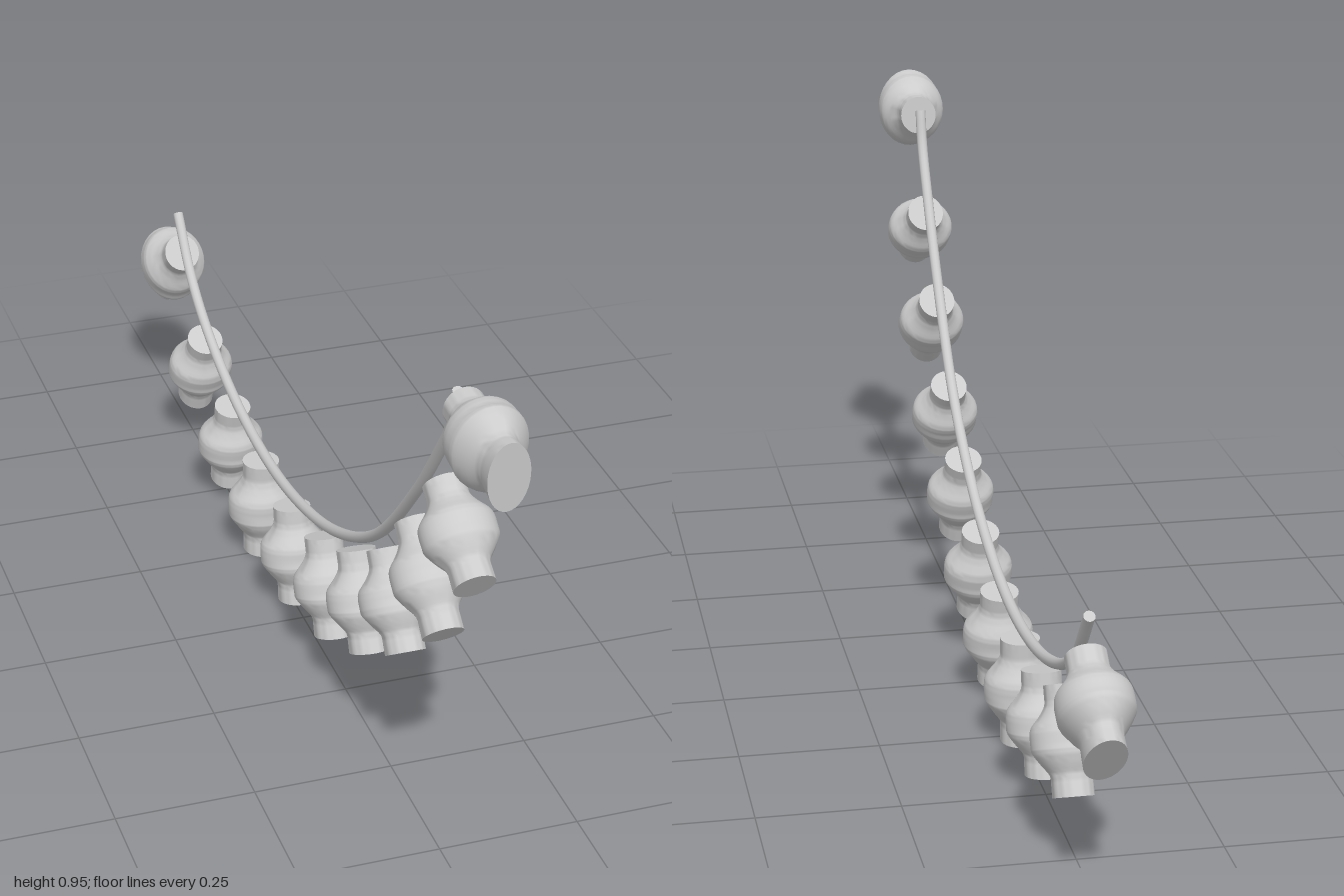
import * as THREE from 'three';
import { toCreasedNormals } from 'three/addons/utils/BufferGeometryUtils.js';

const material = new THREE.MeshStandardMaterial({ color: 0xcccccc });

// Cord path, [z, y]
const CORD = [
  [0.78, 0.905], [0.76, 0.84], [0.70, 0.75], [0.597, 0.618], [0.41, 0.428], [0.195, 0.307], [-0.02, 0.243],
  [-0.227, 0.222], [-0.446, 0.243], [-0.63, 0.3], [-0.74, 0.365], [-0.83, 0.465],
];

// Beads: [top z, top y, bottom z, bottom y]
const BEADS = [
  [0.805, 0.89, 1.0, 0.873], [0.725, 0.709, 0.874, 0.604], [0.596, 0.564, 0.741, 0.43],
  [0.46, 0.43, 0.564, 0.283], [0.3, 0.334, 0.377, 0.168], [0.118, 0.254, 0.179, 0.078],
  [-0.072, 0.209, -0.04, 0.024], [-0.267, 0.198, -0.267, 0.003], [-0.455, 0.217, -0.492, 0.037],
  [-0.644, 0.27, -0.725, 0.104], [-0.805, 0.388, -0.957, 0.275],
];

// Side silhouette from bottom to top, [radius, height fraction]
const PROFILE = [
  [0.035, 0], [0.035, 0.1], [0.036, 0.2], [0.048, 0.29], [0.062, 0.4], [0.064, 0.46],
  [0.064, 0.57], [0.06, 0.64], [0.046, 0.73], [0.036, 0.82], [0.035, 0.9], [0.035, 1],
];

// Bead with a cross-section whose depth changes along its length
function beadGeometry(length, bottom, middle, top) {
  const curve = new THREE.SplineCurve(PROFILE.map(([r, t]) => new THREE.Vector2(r, t)));
  const points = [new THREE.Vector2(0, 0), ...curve.getPoints(33), new THREE.Vector2(0, 1)];
  const geometry = new THREE.LatheGeometry(points, 32);
  const pos = geometry.attributes.position;
  for (let i = 0; i < pos.count; i++) {
    const t = pos.getY(i);
    const depth = t < 0.5
      ? THREE.MathUtils.lerp(bottom, middle, t * 2)
      : THREE.MathUtils.lerp(middle, top, t * 2 - 1);
    pos.setZ(i, pos.getZ(i) * depth);
    pos.setY(i, t * length);
  }
  return toCreasedNormals(geometry, 0.8);
}

export function createModel() {
  const group = new THREE.Group();
  group.name = 'necklace';

  // Hanging cord with closed ends
  const path = new THREE.CatmullRomCurve3(CORD.map(([z, y]) => new THREE.Vector3(0, y, z)));
  const cord = new THREE.Mesh(new THREE.TubeGeometry(path, 96, 0.01, 12), material);
  cord.name = 'cord';
  group.add(cord);
  for (const [t, sign] of [[0, -1], [1, 1]]) {
    const cap = new THREE.Mesh(new THREE.CircleGeometry(0.01, 12), material);
    cap.name = 'cordEnd';
    cap.position.copy(path.getPoint(t));
    cap.lookAt(path.getTangent(t).multiplyScalar(sign).add(cap.position));
    group.add(cap);
  }

  // Beads fanned out below the cord; the two end beads flare at the tip
  BEADS.forEach(([topZ, topY, z, y], i) => {
    const dy = topY - y, dz = topZ - z;
    const isEnd = i === 0 || i === BEADS.length - 1;
    const geometry = isEnd
      ? beadGeometry(Math.hypot(dy, dz), 1.8, 1.1, 1.05)
      : beadGeometry(Math.hypot(dy, dz), 1.15, 0.88, 1.05);
    const bead = new THREE.Mesh(geometry, material);
    bead.name = isEnd ? 'endBead' : 'bead';
    bead.position.set(0, y, z);
    bead.rotation.x = Math.atan2(dz, dy);
    group.add(bead);
  });

  return group;
}
